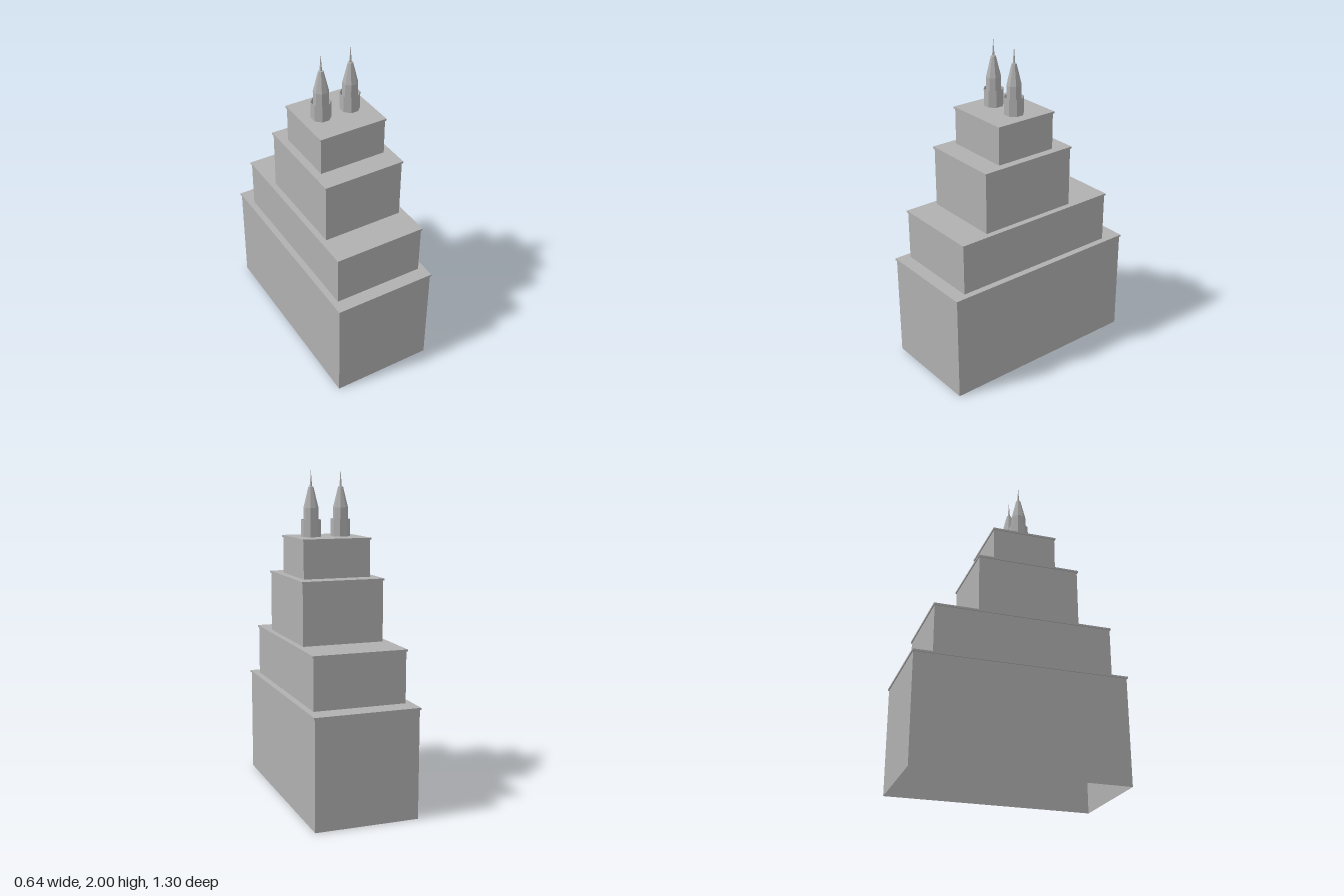
import * as THREE from 'three';

const stone = new THREE.MeshStandardMaterial({ color: 0xb0b0b0 });
stone.name = 'grey stone';
stone.flatShading = true;
stone.side = THREE.DoubleSide;

const LIP = 0.006, LIP_HEIGHT = 0.012;

function addMesh(parent, name, geometry, x, y, z) {
  const mesh = new THREE.Mesh(geometry, stone);
  mesh.name = name;
  mesh.position.set(x, y, z);
  parent.add(mesh);
  return mesh;
}

// Four upright walls, open below and above
function openWalls(width, height, depth) {
  const geometry = new THREE.CylinderGeometry(Math.SQRT1_2, Math.SQRT1_2, height, 4, 1, true, Math.PI / 4);
  return geometry.scale(width, 1, depth);
}

// A hollow block capped by a thin overhanging roof slab
function createTier(name, halfWidth, back, front, bottom, top) {
  const tier = new THREE.Group();
  tier.name = name;
  const width = halfWidth * 2, depth = front - back, z = (front + back) / 2;
  const wallHeight = top - LIP_HEIGHT - bottom;
  addMesh(tier, 'walls', openWalls(width, wallHeight, depth), 0, bottom + wallHeight / 2, z);
  addMesh(tier, 'roofSlab',
    new THREE.BoxGeometry(width + 2 * LIP, LIP_HEIGHT, depth + 2 * LIP), 0, top - LIP_HEIGHT / 2, z);
  return tier;
}

// Octagonal turret: open collar, tapering spire and needle
function createTurret(name, x, z) {
  const turret = new THREE.Group();
  turret.name = name;
  turret.position.set(x, 0, z);
  const corner = 1 / Math.cos(Math.PI / 8);
  addMesh(turret, 'collar',
    new THREE.CylinderGeometry(0.055 * corner, 0.055 * corner, 0.105, 8, 1, true, Math.PI / 8), 0, 1.6475, 0);
  const profile = [
    [0.042, 1.595], [0.042, 1.77], [0.014, 1.895], [0.007, 1.897], [0.003, 1.95], [0, 2],
  ].map(([r, y]) => new THREE.Vector2(r * corner, y));
  addMesh(turret, 'spire', new THREE.LatheGeometry(profile, 8, Math.PI / 8), 0, 0, 0);
  return turret;
}

export function createModel() {
  const model = new THREE.Group();
  model.name = 'steppedTower';

  // name, half width, back z, front z, bottom, top
  const tiers = [
    ['baseTier', 0.316, -0.643, 0.643, 0, 0.665],
    ['secondTier', 0.282, -0.523, 0.565, 0.665, 0.983],
    ['thirdTier', 0.251, -0.251, 0.377, 0.983, 1.362],
    ['topTier', 0.209, -0.146, 0.25, 1.362, 1.596],
  ];
  for (const tier of tiers) model.add(createTier(...tier));

  model.add(createTurret('leftTurret', 0.095, 0.052));
  model.add(createTurret('rightTurret', -0.095, 0.052));
  return model;
}
